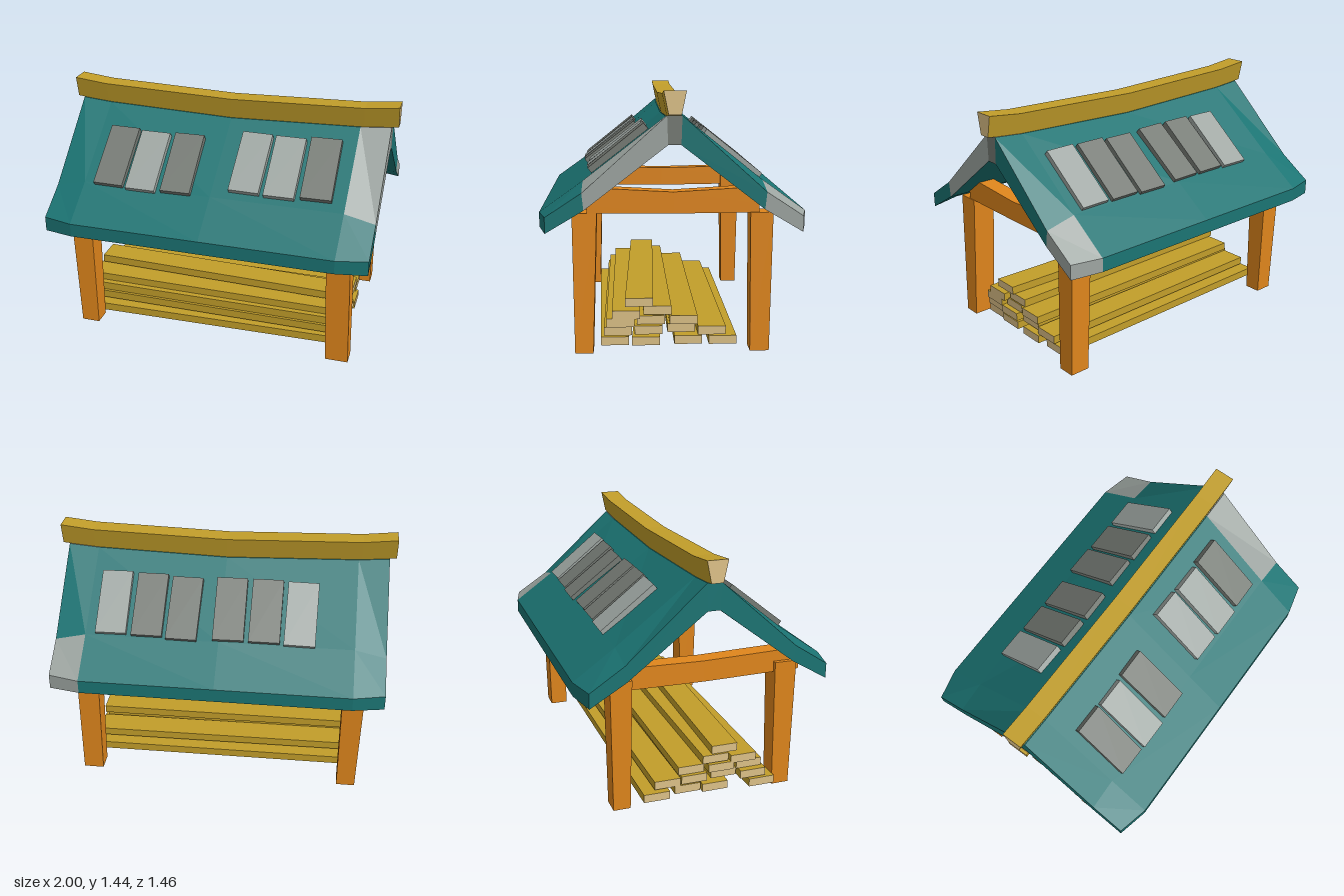
import * as THREE from 'three';

const mat = (name, color) => {
  const m = new THREE.MeshStandardMaterial({ color });
  m.name = name;
  return m;
};

export function createModel() {
  const teal = mat('teal roof', 0x1b7473);
  const lightGrey = mat('light grey', 0x9ea6a2);
  const darkGrey = mat('dark grey', 0x757a74);
  const orange = mat('orange timber', 0xe0861c);
  const gold = mat('golden plank', 0xc29e2a);
  const tan = mat('cut wood end', 0xdec288);
  const plankMats = [tan, tan, gold, gold, gold, gold];

  const model = new THREE.Group();
  model.name = 'woodShelter';
  const add = (name, geometry, material, parent = model) => {
    const mesh = new THREE.Mesh(geometry, material);
    mesh.name = name;
    parent.add(mesh);
    return mesh;
  };
  const group = (name) => {
    const g = new THREE.Group();
    g.name = name;
    model.add(g);
    return g;
  };

  // Moves every vertex by a rule and gives the result flat faces
  const reshape = (geometry, rule) => {
    const g = geometry.toNonIndexed();
    const p = g.attributes.position;
    for (let i = 0; i < p.count; i++) p.setXYZ(i, ...rule(p.getX(i), p.getY(i), p.getZ(i)));
    g.computeVertexNormals();
    return g;
  };

  // Roof shell: sagging cross-sections from the back eave over the ridge to the front eave
  const stations = [-0.96, -0.78, 0, 0.78, 0.96].map((x) => {
    const a = Math.abs(x), end = a > 0.9;
    const sag = end ? 0 : a > 0.5 ? -0.015 : -0.04;
    const eaveZ = end ? 0.685 : 0.728;
    const outer = [[0.04, 1.31 + sag], [0.49, end ? 0.905 : 0.947], [eaveZ, 0.777]];
    const inner = [[0.035, 1.155 + sag / 3], [0.48, 0.812], [eaveZ, end ? 0.69 : 0.697]];
    const both = (half) => [
      ...[...half].reverse().map(([z, y]) => new THREE.Vector3(x, y, -z)),
      ...half.map(([z, y]) => new THREE.Vector3(x, y, z)),
    ];
    return { outer: both(outer), inner: both(inner) };
  });
  const faces = new Map([[teal, []], [lightGrey, []], [darkGrey, []]]);
  const quad = (m, a, b, c, d) => {
    for (const v of [a, b, c, a, c, d]) faces.get(m).push(v);
  };
  const patched = [lightGrey, teal, darkGrey, lightGrey, teal];
  for (let i = 0; i < 4; i++) {
    const p = stations[i], q = stations[i + 1];
    const colour = (s) => (i === 3 ? patched[s] : teal);
    for (let s = 0; s < 5; s++) {
      quad(colour(s), p.outer[s], p.outer[s + 1], q.outer[s + 1], q.outer[s]);
      quad(teal, p.inner[s + 1], p.inner[s], q.inner[s], q.inner[s + 1]);
    }
    quad(colour(4), p.outer[5], p.inner[5], q.inner[5], q.outer[5]);
    quad(colour(0), p.inner[0], p.outer[0], q.outer[0], q.inner[0]);
  }
  // Gable ends
  const l = stations[0], r = stations[4];
  for (let s = 0; s < 5; s++) {
    quad(patched[s], r.outer[s], r.outer[s + 1], r.inner[s + 1], r.inner[s]);
    quad(teal, l.outer[s + 1], l.outer[s], l.inner[s], l.inner[s + 1]);
  }
  const roof = group('roof');
  const roofNames = ['roofShell', 'roofPatches', 'ridgePatch'];
  [...faces].forEach(([m, points], i) => {
    const g = new THREE.BufferGeometry().setFromPoints(points);
    g.computeVertexNormals();
    add(roofNames[i], g, m, roof);
  });

  // Ridge beam: wider on top, sagging in the middle
  const ridgeX = [-1, -0.8, 0, 0.8, 1];
  add('ridgeBeam', reshape(new THREE.BoxGeometry(4, 1, 1, 4), (x, y, z) => {
    const px = ridgeX[Math.round(x + 2)], a = Math.abs(px);
    const base = a === 1 ? 1.315 : a ? 1.293 : 1.27;
    return [px, base + (y > 0 ? 0.125 : 0), Math.sign(z) * (y > 0 ? 0.06 : 0.034)];
  }), plankMats);

  // Loose shingles: [centre x, centre z, material]
  const shingles = group('shingles');
  [
    [-0.62, 0.35, darkGrey], [-0.42, 0.357, lightGrey], [-0.208, 0.347, darkGrey],
    [0.195, 0.302, lightGrey], [0.4, 0.308, lightGrey], [0.61, 0.298, darkGrey],
    [-0.467, -0.338, lightGrey], [-0.262, -0.33, darkGrey], [-0.052, -0.328, darkGrey],
    [0.215, -0.338, darkGrey], [0.42, -0.33, darkGrey], [0.632, -0.328, lightGrey],
  ].forEach(([x, z, m], i) => {
    const side = Math.sign(z), ridgeY = 1.27 + 0.032 * Math.abs(x);
    const slope = (ridgeY - 0.93) / 0.45;
    const tile = add('shingle', new THREE.BoxGeometry(0.18, 0.048, 0.395), m, shingles);
    tile.position.set(x, ridgeY - slope * (Math.abs(z) - 0.056) + (side > 0 ? 0.014 : 0.006), z);
    tile.rotation.set(side * Math.atan(slope), (i % 3 - 1) * 0.012, 0);
  });

  // Posts: rectangles [x0, x1, z0, z1] at the foot and the head
  const post = (name, foot, head) =>
    add(name, reshape(new THREE.BoxGeometry(1, 1, 1), (x, y, z) => {
      const c = y > 0 ? head : foot;
      return [x > 0 ? c[1] : c[0], y > 0 ? 0.776 : 0, z > 0 ? c[3] : c[2]];
    }), orange);
  post('frontLeftPost', [0.725, 0.86, 0.44, 0.54], [0.7, 0.84, 0.415, 0.55]);
  post('frontRightPost', [-0.84, -0.73, 0.44, 0.545], [-0.86, -0.73, 0.42, 0.55]);
  post('backLeftPost', [0.73, 0.85, -0.53, -0.424], [0.71, 0.84, -0.545, -0.42]);
  post('backRightPost', [-0.84, -0.73, -0.53, -0.43], [-0.86, -0.73, -0.545, -0.42]);

  // Cross beams: one rests on the left posts, the other runs through the right posts
  const crossBeam = (name, x, half, top, bottom) => {
    const outline = new THREE.Shape([
      [0, top], ...half, [0, bottom], ...half.map(([z, y]) => [-z, y]).reverse(),
    ].map(([z, y]) => new THREE.Vector2(z, y)));
    const g = new THREE.ExtrudeGeometry(outline, { depth: 0.1, bevelEnabled: false });
    g.translate(0, 0, -0.05);
    g.rotateY(-Math.PI / 2);
    add(name, g, orange).position.x = x;
  };
  crossBeam('leftCrossBeam', 0.785, [[0.35, 0.91], [0.468, 0.822], [0.468, 0.775]], 0.89, 0.772);
  crossBeam('rightCrossBeam', -0.785, [[0.44, 0.84], [0.575, 0.76], [0.575, 0.715]], 0.83, 0.708);

  // Plank stack: [z and y at the left end, z drift at the right end, right end x]
  const planks = group('plankStack');
  [
    [0.322, 0.043, 0.04, -0.865], [0.15, 0.045, -0.07, -0.84], [-0.085, 0.055, 0, -0.83], [-0.28, 0.043, 0.004, -0.85],
    [0.305, 0.104, 0, -0.865], [0.135, 0.113, 0.004, -0.82], [-0.048, 0.115, 0, -0.84], [-0.218, 0.103, 0.012, -0.83],
    [0.292, 0.155, 0, -0.83], [0.122, 0.162, -0.005, -0.84], [-0.06, 0.165, 0, -0.82],
    [0.26, 0.2, -0.006, -0.84], [0.085, 0.217, 0, -0.83],
    [0.188, 0.267, -0.045, -0.82],
  ].forEach(([z, y, drift, x0], i) => {
    const x1 = 0.78 + 0.015 * (i % 3);
    const g = reshape(new THREE.BoxGeometry(1, 0.048, 0.155), (x, py, pz) =>
      [x > 0 ? x1 : x0, y + py + (x > 0 ? 0 : 0.003), z + pz + (x > 0 ? 0 : drift)]);
    add('plank', g, plankMats, planks);
  });

  return model;
}
